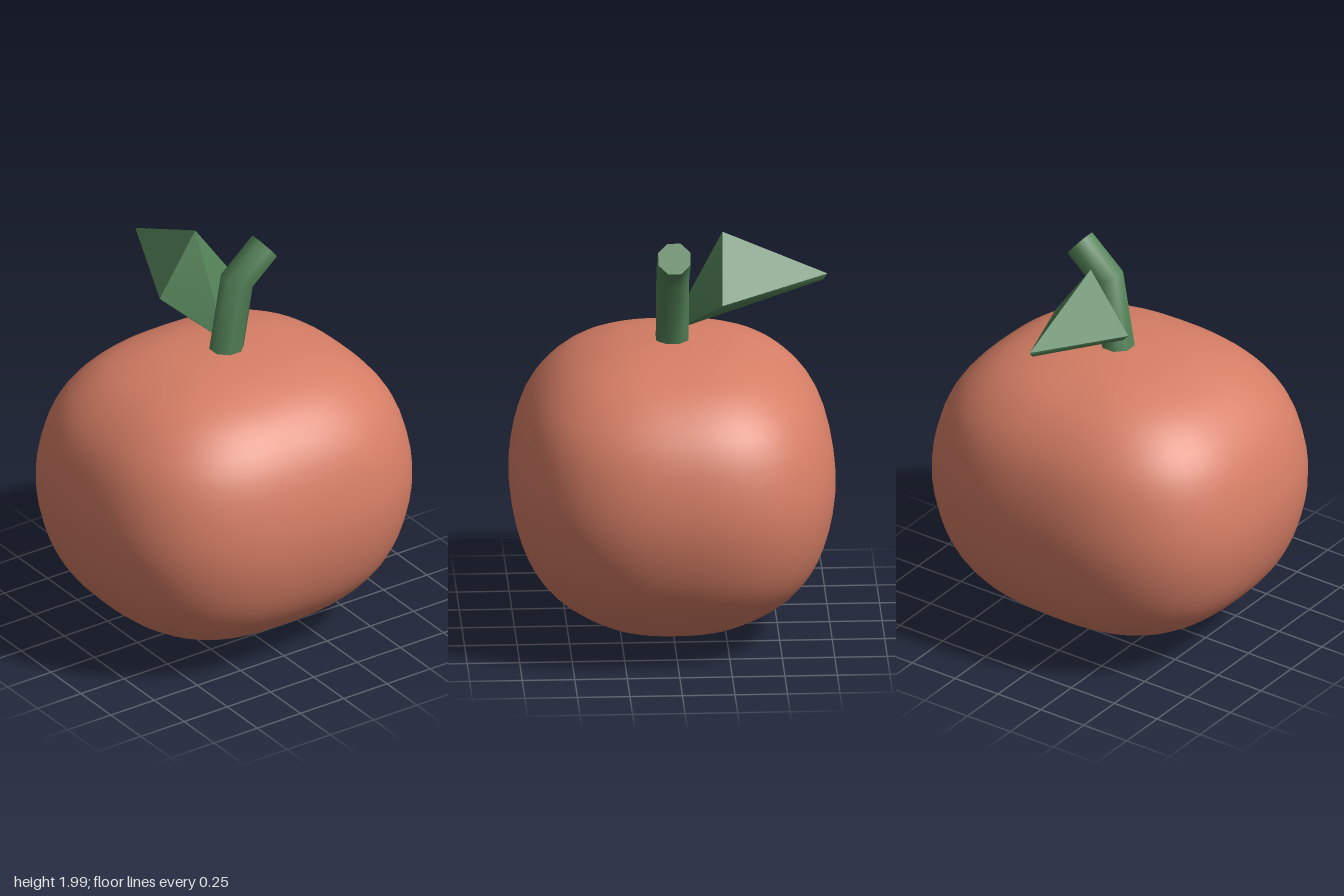
import * as THREE from 'three';
import { mergeVertices, toCreasedNormals } from 'three/addons/utils/BufferGeometryUtils.js';
import { ConvexGeometry } from 'three/addons/geometries/ConvexGeometry.js';

const v2 = (x, y) => new THREE.Vector2(x, y);
const v3 = (x, y, z) => new THREE.Vector3(x, y, z);

function addPart(group, name, geometry, color) {
  const mesh = new THREE.Mesh(geometry, new THREE.MeshStandardMaterial({ color }));
  mesh.name = name;
  group.add(mesh);
}

// Turned fruit whose round section is squared off into a wide superellipse
function fruitGeometry() {
  const profile = new THREE.SplineCurve([
    v2(0, 0.01), v2(0.18, 0.035), v2(0.41, 0.1), v2(0.67, 0.27), v2(0.81, 0.49),
    v2(0.862, 0.8), v2(0.785, 1.12), v2(0.6, 1.325), v2(0.36, 1.425), v2(0.12, 1.458), v2(0, 1.46),
  ]).getPoints(40);
  profile[0].x = profile[40].x = 0;
  const lathe = new THREE.LatheGeometry(profile, 64);
  const pos = lathe.attributes.position;
  const n = 2.6, depth = 0.775 / 0.862;
  for (let i = 0; i < pos.count; i++) {
    const x = pos.getX(i), z = pos.getZ(i), r = Math.hypot(x, z);
    if (r < 1e-6) continue;
    const k = r / Math.pow(Math.abs(x) ** n + Math.abs(z) ** n, 1 / n);
    pos.setX(i, x * k);
    pos.setZ(i, z * k * depth);
  }
  lathe.deleteAttribute('uv');
  lathe.deleteAttribute('normal');
  const merged = mergeVertices(lathe, 1e-4);
  merged.computeVertexNormals();
  return merged;
}

// Eight-sided stem with one mitred bend; each ring has a centre, a tilt and a widening
function stemGeometry() {
  const rings = [
    { x: 0, y: 1.38, tilt: 0.15, wide: 1 },
    { x: 0.075, y: 1.805, tilt: 0.52, wide: 1.06 },
    { x: 0.233, y: 1.94, tilt: 0.9, wide: 1 },
  ];
  const geo = new THREE.CylinderGeometry(0.083, 0.083, 2, 8, 2, false, Math.PI / 8);
  const pos = geo.attributes.position;
  for (let i = 0; i < pos.count; i++) {
    const ring = rings[Math.round(pos.getY(i) + 1)];
    const offset = pos.getX(i) * ring.wide;
    pos.setX(i, ring.x + offset * Math.cos(ring.tilt));
    pos.setY(i, ring.y - offset * Math.sin(ring.tilt));
  }
  return toCreasedNormals(geo, 1);
}

// Thick pointed leaf, ridged on top and flat beneath
function leafGeometry() {
  const points = [
    v3(0, 1.99, -0.24), v3(0, 1.68, -0.08), v3(0, 1.5, -0.02),
    v3(0, 1.77, -0.74), v3(0, 1.74, -0.72),
  ];
  for (const s of [-1, 1]) points.push(v3(s * 0.212, 1.69, -0.23), v3(s * 0.19, 1.665, -0.24));
  return toCreasedNormals(new ConvexGeometry(points), 0.8);
}

export function createModel() {
  const model = new THREE.Group();
  model.name = 'fruit';
  addPart(model, 'fruitBody', fruitGeometry(), 0xd67e65);
  addPart(model, 'stem', stemGeometry(), 0x538257);
  addPart(model, 'leaf', leafGeometry(), 0x538257);
  return model;
}
